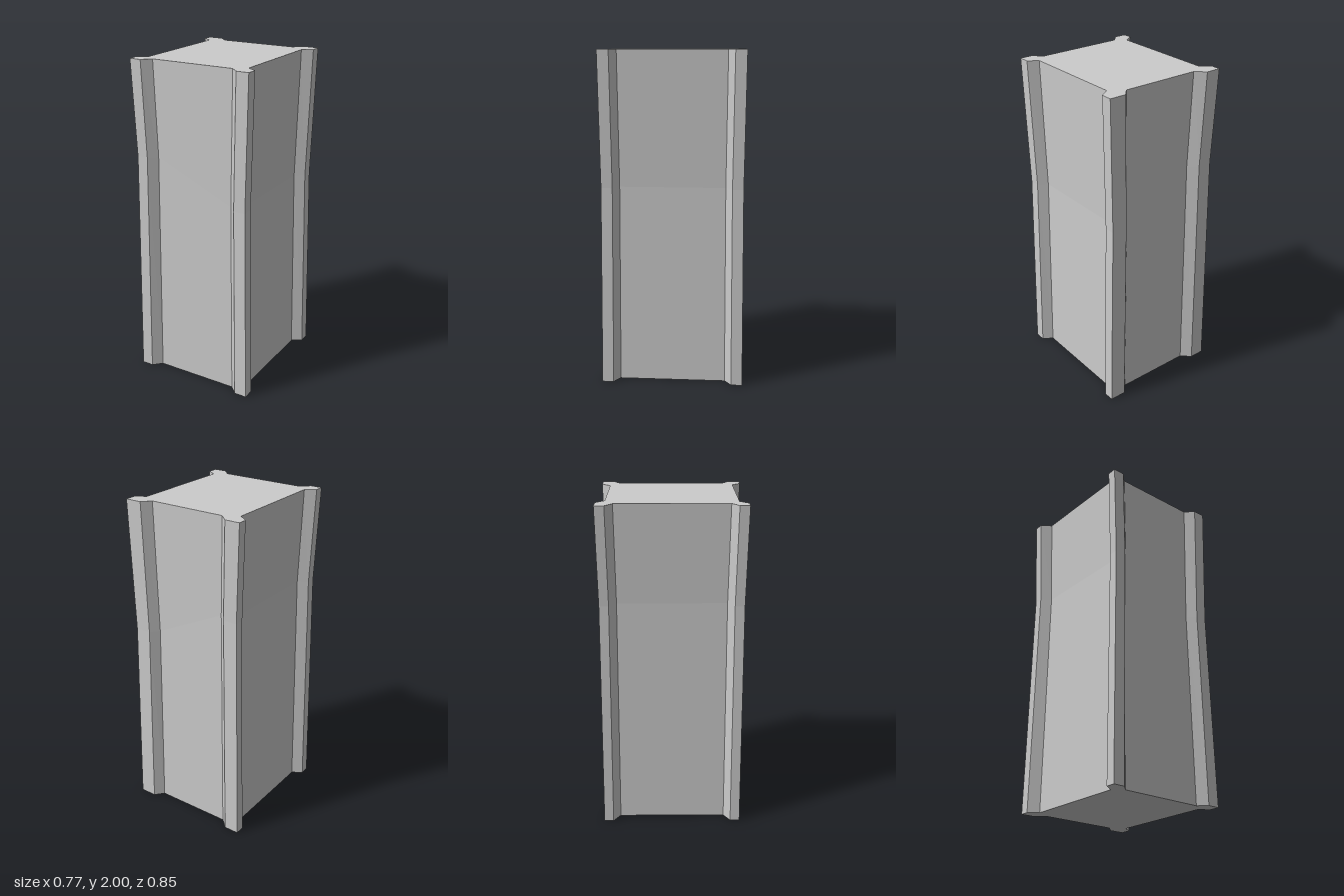
import * as THREE from 'three';

// Plan outline as [x, z]: four flared corner ribs joined by recessed panels
const outline = [
  // front
  [-0.387, 0.425], [-0.315, 0.425], [-0.265, 0.375],
  [0.26, 0.375], [0.31, 0.425], [0.387, 0.425],
  // +x side
  [0.387, 0.357], [0.327, 0.32], [0.327, -0.32], [0.387, -0.36],
  // back
  [0.387, -0.427], [0.285, -0.427], [0.24, -0.375],
  [-0.24, -0.375], [-0.295, -0.427], [-0.387, -0.427],
  // -x side
  [-0.387, -0.37], [-0.327, -0.327], [-0.327, 0.327], [-0.387, 0.367],
];

export function createModel() {
  const group = new THREE.Group();
  group.name = 'pillar';

  const shape = new THREE.Shape(outline.map(([x, z]) => new THREE.Vector2(x, -z)));
  const geometry = new THREE.ExtrudeGeometry(shape, { depth: 2, steps: 2, bevelEnabled: false });
  geometry.rotateX(-Math.PI / 2);

  // Pinch the middle ring into a waist, slightly lower on the +x side
  const p = geometry.attributes.position;
  for (let i = 0; i < p.count; i++) {
    if (Math.abs(p.getY(i) - 1) > 0.1) continue;
    const x = p.getX(i);
    p.setXYZ(i, x * 0.945, x > 0 ? 1.2 : 1.42, p.getZ(i) * 0.98);
  }
  geometry.computeVertexNormals();

  const material = new THREE.MeshStandardMaterial({ color: 0xcccccc, flatShading: true });
  const column = new THREE.Mesh(geometry, material);
  column.name = 'ribbedColumn';
  group.add(column);
  return group;
}
